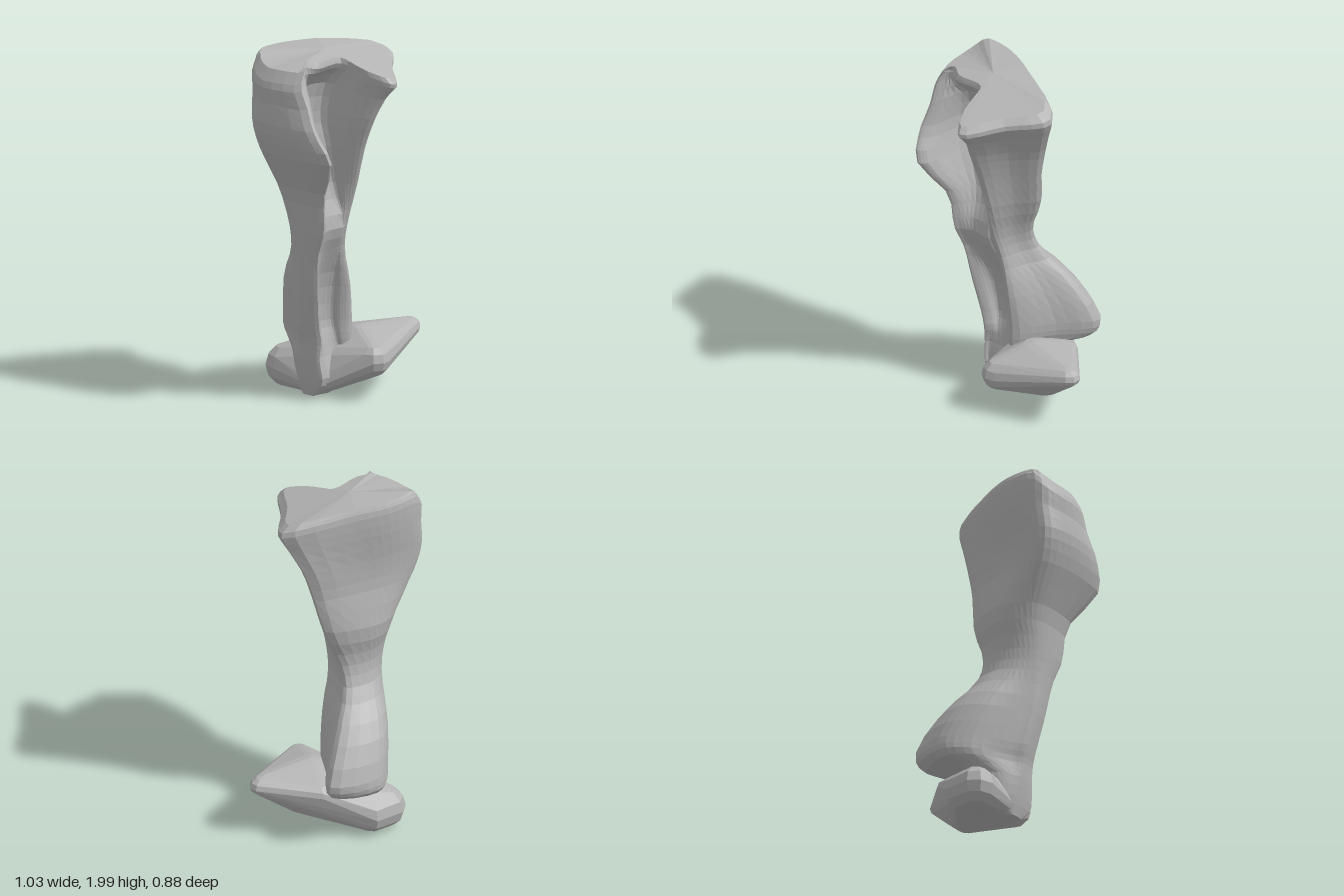
import * as THREE from 'three';
import { ConvexGeometry } from 'three/addons/geometries/ConvexGeometry.js';

const { lerp, clamp } = THREE.MathUtils;
const ROWS = 32, AROUND = 48;

// Per level: height, left x, back-left z, back z, right corner x,z,
// front ridge x,z, hollow z, left flange z
const levels = [
  [1.95, -.51, -.23, -.24, .31, .08, -.04, .44, .14, .13],
  [1.8, -.51, -.23, -.24, .27, .05, -.05, .37, .03, .18],
  [1.6, -.52, -.22, -.22, .2, 0, -.07, .3, 0, .25],
  [1.45, -.48, -.2, -.22, .16, -.02, -.07, .24, .03, .32],
  [1.2, -.36, -.15, -.26, .11, -.07, -.06, .17, .06, .18],
  [1.0, -.33, -.09, -.21, .03, -.1, -.06, .11, .12, .16],
  [.85, -.31, -.08, -.23, .04, -.15, -.04, .07, .07, .1],
  [.65, -.29, -.1, -.4, .2, -.25, 0, .07, 0, .07],
  [.42, -.25, -.14, -.49, .33, -.31, .02, .06, -.02, .04],
  [.34, -.23, -.14, -.49, .3, -.29, .02, .06, 0, .04],
  [.24, -.22, -.14, -.3, .1, -.18, .01, .05, .02, .03],
  [.1, -.2, -.14, -.25, .04, -.16, -.02, .04, .05, .04],
  [.02, -.18, -.12, -.14, -.05, -.09, -.05, -.03, -.02, -.03],
];

// Cross-section running back, right corner, front ridge, hollow, flange, left
function section([y, left, backLeft, back, cx, cz, rx, rz, hollow, flange]) {
  const w = (cx - left) / .8;
  return [
    [left + .06 * w, backLeft],
    [lerp(left, cx, .3), lerp(backLeft, back, .6)],
    [lerp(left, cx, .58), lerp(back, cz, .3)],
    [cx, cz],
    [lerp(cx, rx, .5), lerp(cz, rz, .5)],
    [rx, rz],
    [rx - .07 * w, lerp(hollow, rz, .6)],
    [rx - .1 * w, hollow],
    [lerp(rx - .1 * w, left, .5), hollow - .01],
    [left + .11 * w, flange - .04 * w],
    [left + .05 * w, flange],
    [left, lerp(backLeft, flange, .35)],
  ].map(([x, z]) => new THREE.Vector3(x, y, z));
}

// Lower the corners of the head so its top slopes to every side
function slope(p) {
  const ramp = clamp((p.y - 1.6) / .38, 0, 1);
  p.y -= ramp * (.12 * Math.max(0, p.x + .05) + .3 * Math.max(0, p.z) + 1.1 * Math.max(0, -.4 - p.x));
  return p;
}

// Faceted skin through the cross-sections, with closed ends
function loft(rings) {
  const columns = rings[0].map((_, i) => new THREE.CatmullRomCurve3(rings.map(r => r[i])));
  const pos = [], index = [];
  for (let r = 0; r <= ROWS; r++) {
    const loop = new THREE.CatmullRomCurve3(columns.map(c => c.getPoint(r / ROWS)), true);
    for (let i = 0; i < AROUND; i++) pos.push(...slope(loop.getPoint(i / AROUND)).toArray());
  }
  const last = ROWS * AROUND, head = last + AROUND;
  for (let i = 0; i < AROUND; i++) {
    const j = (i + 1) % AROUND;
    for (let a = i, b = j; a < last; a += AROUND, b += AROUND) {
      index.push(a, b, a + AROUND, b, b + AROUND, a + AROUND);
    }
    index.push(head, j, i, head + 1, last + i, last + j);
  }
  pos.push(-.15, 1.98, .02, -.1, .01, -.07);
  const smooth = new THREE.BufferGeometry();
  smooth.setAttribute('position', new THREE.Float32BufferAttribute(pos, 3));
  smooth.setIndex(index);
  const flat = smooth.toNonIndexed();
  flat.computeVertexNormals();
  return flat;
}

// Rounded knobs wrapped in one convex skin: centre and radii of each
function wrapKnobs(knobs) {
  const ball = new THREE.SphereGeometry(1, 9, 6).getAttribute('position');
  const points = [];
  for (const [x, y, z, rx, ry, rz] of knobs) {
    for (let i = 0; i < ball.count; i++) {
      points.push(new THREE.Vector3(x + rx * ball.getX(i), y + ry * ball.getY(i), z + rz * ball.getZ(i)));
    }
  }
  return new ConvexGeometry(points);
}

export function createModel() {
  const group = new THREE.Group();
  group.name = 'bone';
  const grey = new THREE.MeshStandardMaterial({ color: 0xb4b4b4 });
  grey.name = 'bone grey';
  const add = (name, geometry) => {
    const mesh = new THREE.Mesh(geometry, grey);
    mesh.name = name;
    group.add(mesh);
  };

  // Shaft with the broad hollowed head and the lower back flange
  const rings = levels.map(section);
  const rim = rings[0].map(p => new THREE.Vector3(lerp(-.15, p.x, .88), 1.99, lerp(.02, p.z, .92)));
  add('shaftAndHead', loft([rim, ...rings]));

  // Wedge-shaped lower joint with three blunt ends
  add('lowerJoint', wrapKnobs([
    [.43, .31, .1, .085, .055, .065], // side end
    [.04, .225, .21, .085, .09, .09], // front end
    [-.08, .125, -.32, .11, .12, .12], // back end, left
    [.01, .125, -.31, .1, .115, .11], // back end, right
    [.14, .31, .03, .1, .065, .1], // top
    [.23, .27, -.13, .07, .06, .08], // back edge
    [-.1, .075, -.06, .08, .06, .08], // bottom bump
    [.22, .15, .02, .1, .07, .1], // underside
  ]));

  return group;
}
